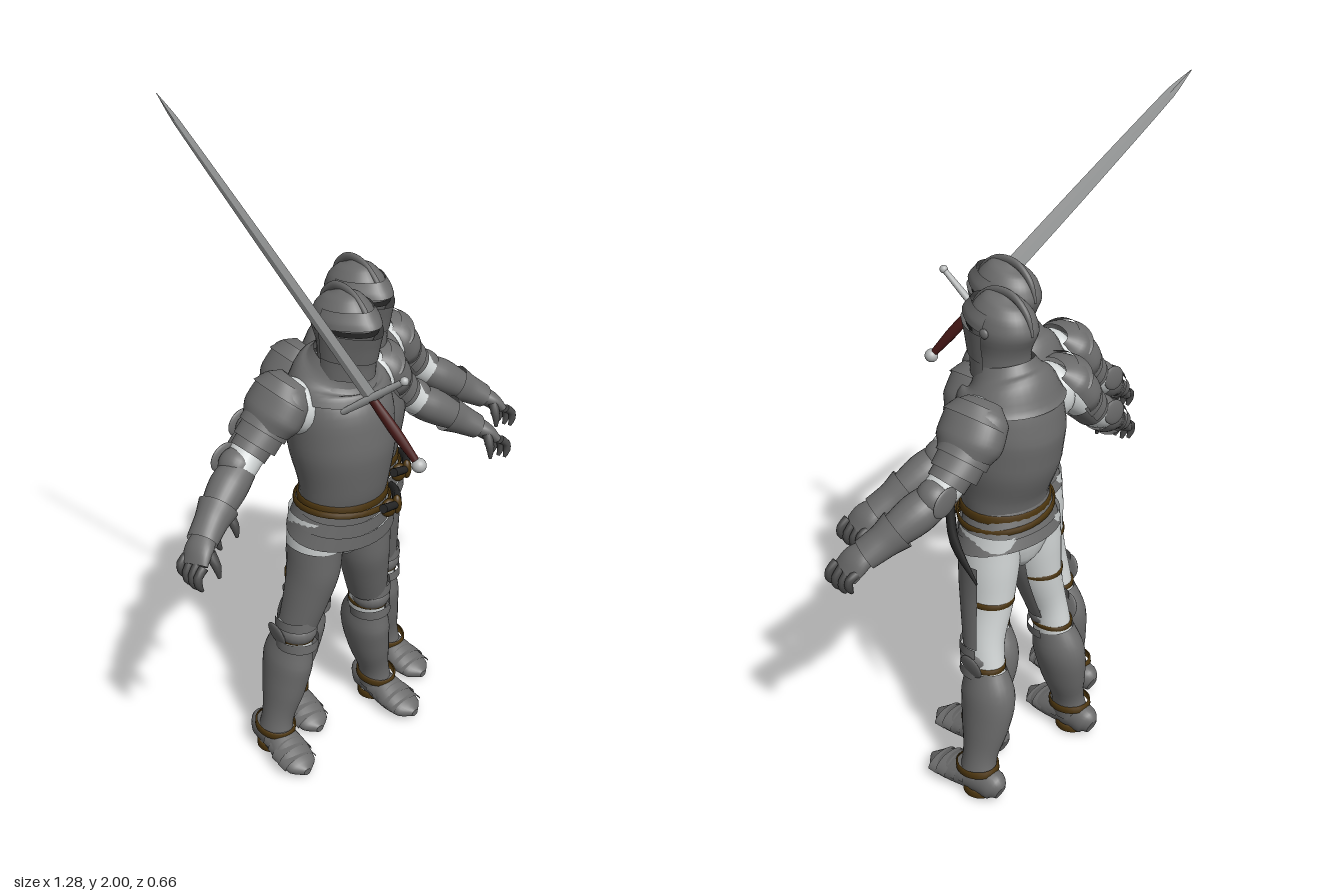
import * as THREE from 'three';

const mat = (name, color) => {
  const m = new THREE.MeshStandardMaterial({ color, side: THREE.DoubleSide });
  m.name = name;
  return m;
};
const V = (x, y, z) => new THREE.Vector3(x, y, z);

// Skin elliptical rings [x, y, z, ra, rb] placed along a smooth path.
// rb lies along ref, ra across it; arc opens the ring, shape(angle) scales it.
function loft(secs, { ref = V(0, 0, 1), arc = [0, Math.PI * 2], seg = 28, sub = 4, shape = () => 1, caps = false, flat = false } = {}) {
  const path = new THREE.CatmullRomCurve3(secs.map(s => V(s[0], s[1], s[2])));
  const radii = new THREE.CatmullRomCurve3(secs.map(s => V(s[3], s[4], 0)));
  const closed = arc[1] - arc[0] > 6.28;
  const n = closed ? seg : seg + 1, rows = (secs.length - 1) * sub;
  const pos = [], idx = [];
  for (let i = 0; i <= rows; i++) {
    const u = i / rows, c = path.getPoint(u), r = radii.getPoint(u), t = path.getTangent(u);
    const b = ref.clone().addScaledVector(t, -ref.dot(t)).normalize();
    const a = t.clone().cross(b);
    for (let j = 0; j < n; j++) {
      const th = arc[0] + (arc[1] - arc[0]) * j / seg, k = shape(th);
      const p = c.clone().addScaledVector(a, Math.cos(th) * r.x * k).addScaledVector(b, Math.sin(th) * r.y * k);
      pos.push(p.x, p.y, p.z);
    }
  }
  for (let i = 0; i < rows; i++) for (let j = 0; j < seg; j++) {
    const j2 = (j + 1) % n, A = i * n + j, B = i * n + j2;
    idx.push(A, A + n, B, B, A + n, B + n);
  }
  if (caps) for (const [row, s] of [[0, secs[0]], [rows, secs[secs.length - 1]]]) {
    const base = pos.length / 3;
    for (let j = 0; j < n; j++) pos.push(...pos.slice((row * n + j) * 3, (row * n + j) * 3 + 3));
    pos.push(s[0], s[1], s[2]);
    for (let j = 0; j < seg; j++) {
      const p = base + j, q = base + (j + 1) % n;
      idx.push(base + n, row ? q : p, row ? p : q);
    }
  }
  let g = new THREE.BufferGeometry();
  g.setAttribute('position', new THREE.Float32BufferAttribute(pos, 3));
  g.setIndex(idx);
  if (flat) g = g.toNonIndexed();
  g.computeVertexNormals();
  return g;
}

export function createModel() {
  const root = new THREE.Group();
  const steel = mat('steel', 0x6c6c6c), cloth = mat('pale cloth', 0xd2d6d6), leather = mat('brown leather', 0x4d360e);
  const black = mat('black leather', 0x262626), blade = mat('bright steel', 0xb4b6b6), grip = mat('red grip', 0x4a1a18);
  const glove = mat('gauntlet', 0x4a4a4a);
  const add = (parent, name, geo, m) => {
    const mesh = new THREE.Mesh(geo, m);
    mesh.name = name;
    parent.add(mesh);
    return mesh;
  };
  const ball = (parent, name, x, y, z, rx, ry, rz, m) => {
    const s = add(parent, name, new THREE.SphereGeometry(1, 20, 14), m);
    s.position.set(x, y, z);
    s.scale.set(rx, ry, rz);
    return s;
  };
  // Strap: a short bulging ring round the body or a limb
  const band = (parent, name, x, y, z, rx, rz, h, m) => add(parent, name,
    loft([[x, y - h, z, rx - 0.006, rz - 0.006], [x, y - h * 0.8, z, rx, rz], [x, y + h * 0.8, z, rx, rz], [x, y + h, z, rx - 0.006, rz - 0.006]], { sub: 1 }), m);
  const keel = (k, p) => th => 1 + k * Math.pow(Math.max(0, Math.sin(th)), p);

  function makeLeg() {
    const g = new THREE.Group();
    g.name = 'leg';
    add(g, 'hose', loft([[0.075, 0.83, -0.03, 0.075, 0.095], [0.085, 0.72, -0.035, 0.076, 0.09], [0.1, 0.6, -0.045, 0.064, 0.075],
      [0.13, 0.48, -0.06, 0.052, 0.06], [0.14, 0.38, -0.075, 0.05, 0.062]]), cloth);
    const front = { arc: [-0.4, Math.PI + 0.3] };
    add(g, 'thighPlate', loft([[0.088, 0.735, -0.035, 0.078, 0.093], [0.093, 0.65, -0.038, 0.075, 0.09], [0.108, 0.57, -0.047, 0.068, 0.079],
      [0.13, 0.47, -0.062, 0.058, 0.066]], front), steel);
    band(g, 'thighStrap', 0.098, 0.62, -0.043, 0.069, 0.079, 0.009, leather);
    band(g, 'kneeStrap', 0.139, 0.42, -0.068, 0.055, 0.066, 0.008, leather);
    // Knee cap with rims and an outer wing
    ball(g, 'kneeCap', 0.139, 0.44, -0.055, 0.058, 0.045, 0.062, steel);
    for (const y of [0.4, 0.475])
      add(g, 'kneeRim', loft([[0.139, y - 0.016, -0.06, 0.061, 0.068], [0.137, y + 0.014, -0.06, 0.062, 0.067]], front), steel);
    const wing = ball(g, 'kneeWing', 0.198, 0.435, -0.075, 0.008, 0.042, 0.038, steel);
    wing.rotation.z = -0.25;
    // Closed shin armour
    add(g, 'shinPlate', loft([[0.14, 0.4, -0.075, 0.052, 0.066], [0.148, 0.32, -0.092, 0.064, 0.088], [0.165, 0.22, -0.096, 0.057, 0.075],
      [0.188, 0.12, -0.098, 0.044, 0.054], [0.197, 0.06, -0.1, 0.048, 0.06]]), steel);
    // Foot armour with overlapping plates
    add(g, 'shoe', loft([[0.197, 0.04, -0.19, 0.018, 0.028], [0.198, 0.05, -0.165, 0.04, 0.048], [0.2, 0.05, -0.08, 0.047, 0.05],
      [0.205, 0.038, -0.01, 0.056, 0.037], [0.21, 0.026, 0.045, 0.046, 0.025], [0.212, 0.022, 0.075, 0.012, 0.012]],
      { ref: V(0, 1, 0), caps: true }), steel);
    [[-0.07, 0.051, 0.053], [-0.04, 0.054, 0.048], [-0.01, 0.059, 0.043], [0.02, 0.056, 0.036]].forEach(([z, rx, h], i) =>
      add(g, 'shoePlate', loft([[0.2 + i * 0.003, h - 0.006, z - 0.018, rx, h - 0.004], [0.201 + i * 0.003, h - 0.008, z + 0.02, rx, h - 0.006]],
        { ref: V(0, 1, 0), arc: [0, Math.PI] }), steel));
    const strap = band(g, 'spurStrap', 0, 0, 0, 0.058, 0.067, 0.011, leather);
    strap.position.set(0.198, 0.092, -0.098);
    strap.rotation.x = 0.1;
    band(g, 'underStrap', 0.198, 0.02, -0.11, 0.05, 0.05, 0.012, leather);
    return g;
  }

  function makeArm() {
    const g = new THREE.Group();
    g.name = 'arm';
    ball(g, 'shoulderPadding', 0.135, 1.175, -0.045, 0.048, 0.08, 0.082, cloth);
    add(g, 'sleeve', loft([[0.13, 1.2, -0.055, 0.055, 0.06], [0.22, 1.125, -0.072, 0.05, 0.052], [0.3, 1.05, -0.065, 0.047, 0.05],
      [0.38, 0.995, -0.035, 0.04, 0.042], [0.46, 0.94, 0, 0.03, 0.03]]), cloth);
    // Overlapping shoulder plates, open at the armpit
    const open = { arc: [Math.PI * 0.36, Math.PI * 1.64] };
    add(g, 'shoulderPlate', loft([[0.125, 1.245, -0.055, 0.03, 0.055], [0.155, 1.215, -0.06, 0.066, 0.095], [0.19, 1.165, -0.067, 0.07, 0.1],
      [0.215, 1.13, -0.07, 0.06, 0.08]], open), steel);
    add(g, 'shoulderCrest', loft([[0.14, 1.235, -0.06, 0.062, 0.07], [0.165, 1.205, -0.062, 0.075, 0.1]], { arc: [Math.PI * 0.5, Math.PI * 1.5] }), steel);
    [[0.205, 1.14, 0.069], [0.232, 1.11, 0.062]].forEach(([x, y, r]) =>
      add(g, 'shoulderLame', loft([[x - 0.012, y + 0.014, -0.07, r - 0.004, r + 0.008], [x + 0.02, y - 0.022, -0.071, r, r + 0.006]], open), steel));
    add(g, 'upperArmPlate', loft([[0.215, 1.13, -0.071, 0.054, 0.058], [0.278, 1.07, -0.069, 0.052, 0.055]]), steel);
    // Elbow cap with wing
    ball(g, 'elbowCap', 0.318, 1.05, -0.068, 0.05, 0.045, 0.05, steel).rotation.z = -0.7;
    ball(g, 'elbowWing', 0.325, 1.055, -0.115, 0.045, 0.036, 0.009, steel).rotation.z = -0.7;
    // Forearm and flared cuff
    add(g, 'forearmPlate', loft([[0.315, 1.035, -0.062, 0.047, 0.05], [0.36, 1.008, -0.046, 0.052, 0.055], [0.45, 0.945, -0.008, 0.036, 0.038]]), steel);
    add(g, 'cuff', loft([[0.408, 0.974, -0.026, 0.055, 0.057], [0.445, 0.948, -0.01, 0.044, 0.047], [0.49, 0.918, 0.012, 0.036, 0.046]]), steel);
    // Gauntlet hand
    add(g, 'hand', loft([[0.475, 0.928, 0.005, 0.028, 0.034], [0.508, 0.905, 0.023, 0.026, 0.046], [0.533, 0.875, 0.037, 0.018, 0.046]], { caps: true }), steel);
    for (let i = 0; i < 4; i++) {
      const z = -0.002 + i * 0.026, d = i === 0 ? 0.012 : i === 3 ? 0.006 : 0;
      add(g, 'finger', loft([[0.53, 0.885, z, 0.013, 0.013], [0.552, 0.86 + d, z + 0.004, 0.012, 0.012],
        [0.553, 0.838 + d, z + 0.006, 0.011, 0.011], [0.543, 0.818 + d, z + 0.007, 0.005, 0.005]], { seg: 10, sub: 2, caps: true }), glove);
    }
    add(g, 'thumb', loft([[0.495, 0.905, 0.055, 0.016, 0.014], [0.49, 0.872, 0.075, 0.013, 0.012], [0.487, 0.838, 0.08, 0.005, 0.005]],
      { seg: 10, sub: 2, caps: true }), glove);
    return g;
  }

  function makeKnight() {
    const k = new THREE.Group();
    k.name = 'knight';
    // Body armour
    add(k, 'breastAndBackPlate', loft([[0, 0.87, -0.012, 0.124, 0.108], [0, 0.94, -0.008, 0.132, 0.127], [0, 1.04, -0.015, 0.149, 0.152],
      [0, 1.13, -0.025, 0.15, 0.154], [0, 1.21, -0.035, 0.135, 0.13], [0, 1.265, -0.03, 0.1, 0.095]], { seg: 40 }), steel);
    add(k, 'neckGuard', loft([[0, 1.205, -0.03, 0.15, 0.142], [0, 1.245, -0.028, 0.125, 0.12], [0, 1.275, -0.018, 0.092, 0.096],
      [0, 1.305, -0.01, 0.072, 0.082]], { seg: 36 }), steel);
    const hem = [[0.885, 0.125, 0.11], [0.85, 0.14, 0.117], [0.815, 0.153, 0.124]];
    hem.forEach(([y, rx, rz]) => add(k, 'skirtLame', loft([[0, y - 0.042, -0.022, rx + 0.015, rz + 0.006], [0, y, -0.014, rx, rz]], { seg: 36 }), steel));
    add(k, 'breeches', loft([[0, 0.685, -0.035, 0.03, 0.055], [0, 0.72, -0.032, 0.09, 0.085], [0, 0.79, -0.025, 0.14, 0.108], [0, 0.87, -0.02, 0.118, 0.1]], { caps: true }), cloth);
    band(k, 'belt', 0, 0.88, -0.012, 0.135, 0.12, 0.013, leather);
    const slung = band(k, 'swordBelt', 0, 0, 0, 0.146, 0.127, 0.009, leather);
    slung.position.set(0, 0.858, -0.014);
    slung.rotation.z = -0.1;
    // Dagger at the left hip
    add(k, 'daggerSheath', loft([[0.1, 0.845, 0.105, 0.014, 0.022], [0.18, 0.81, 0.005, 0.013, 0.02], [0.24, 0.772, -0.14, 0.003, 0.004]],
      { ref: V(0, 1, 0), seg: 12, caps: true }), black);
    add(k, 'daggerGrip', loft([[0.025, 0.872, 0.135, 0.013, 0.013], [0.1, 0.845, 0.108, 0.009, 0.011]], { ref: V(0, 1, 0), seg: 12, caps: true }), black);
    ball(k, 'daggerGuard', 0.098, 0.846, 0.108, 0.014, 0.03, 0.014, leather);
    ball(k, 'pouchLoop', 0.075, 0.84, 0.1, 0.026, 0.028, 0.018, leather);

    // Helmet: skull, keeled visor, eye slit and crest
    add(k, 'helmet', loft([[0, 1.265, 0.005, 0.074, 0.082], [0, 1.33, 0, 0.07, 0.078], [0, 1.4, 0, 0.08, 0.104], [0, 1.445, -0.002, 0.068, 0.09],
      [0, 1.475, -0.005, 0.042, 0.06], [0, 1.49, -0.008, 0.004, 0.006]], { seg: 36 }), steel);
    const face = { arc: [-0.1, Math.PI + 0.1], seg: 36, shape: keel(0.17, 8) };
    add(k, 'chinGuard', loft([[0, 1.262, 0.005, 0.08, 0.083], [0, 1.3, 0.005, 0.079, 0.086], [0, 1.335, 0.005, 0.079, 0.093]], face), steel);
    add(k, 'visor', loft([[0, 1.315, 0.008, 0.081, 0.092], [0, 1.36, 0.008, 0.083, 0.102], [0, 1.396, 0.008, 0.085, 0.112]], face), steel);
    add(k, 'eyeSlit', loft([[0, 1.394, 0.005, 0.08, 0.102], [0, 1.409, 0.005, 0.08, 0.102]], { arc: [0.3, Math.PI - 0.3], shape: keel(0.1, 8) }), black);
    add(k, 'brow', loft([[0, 1.406, 0.006, 0.084, 0.11], [0, 1.425, 0.004, 0.081, 0.102], [0, 1.452, 0.002, 0.067, 0.087]], face), steel);
    add(k, 'crest', loft([[0, 1.41, 0.118, 0.004, 0.004], [0, 1.455, 0.082, 0.008, 0.011], [0, 1.489, 0.025, 0.008, 0.013], [0, 1.49, -0.035, 0.008, 0.012],
      [0, 1.455, -0.082, 0.008, 0.01], [0, 1.4, -0.104, 0.004, 0.004]], { ref: V(0, 0.95, 0.1), seg: 12 }), steel);
    for (const s of [1, -1]) {
      ball(k, 'visorPivot', s * 0.081, 1.405, -0.01, 0.008, 0.014, 0.014, steel);
      const side = new THREE.Group();
      side.name = s > 0 ? 'leftLimbs' : 'rightLimbs';
      side.add(makeLeg(), makeArm());
      side.scale.x = s;
      k.add(side);
    }
    return k;
  }

  // Two matching knights, one behind the other
  [[-0.075, 0], [0.075, -0.13]].forEach(([x, z]) => {
    const k = makeKnight();
    k.position.set(x, 0, z);
    root.add(k);
  });

  // Long sword held free in front of the first knight
  const sword = new THREE.Group();
  sword.name = 'sword';
  const end = V(-0.075, 1.095, 0.305), tip = V(-0.41, 2.0, -0.31), across = V(0.025, 0.17, 0.22).normalize();
  const at = (u, a, b) => [...end.clone().lerp(tip, u).toArray(), a, b];
  add(sword, 'blade', loft([at(0.19, 0.006, 0.026), at(0.6, 0.005, 0.021), at(0.93, 0.004, 0.013), at(1, 0.0005, 0.001)],
    { ref: across, seg: 4, flat: true }), blade);
  add(sword, 'grip', loft([at(0.015, 0.01, 0.011), at(0.1, 0.014, 0.016), at(0.185, 0.011, 0.013)], { ref: across, seg: 14 }), grip);
  ball(sword, 'pommel', end.x, end.y, end.z, 0.02, 0.02, 0.02, blade);
  const mid = end.clone().lerp(tip, 0.19), g1 = mid.clone().addScaledVector(across, 0.143), g2 = mid.clone().addScaledVector(across, -0.143);
  add(sword, 'crossGuard', loft([[...g1.toArray(), 0.008, 0.008], [...mid.toArray(), 0.011, 0.011], [...g2.toArray(), 0.008, 0.008]],
    { ref: tip.clone().sub(end).normalize(), seg: 10, caps: true }), blade);
  for (const p of [g1, g2]) ball(sword, 'guardKnob', p.x, p.y, p.z, 0.012, 0.012, 0.012, blade);
  root.add(sword);
  return root;
}
